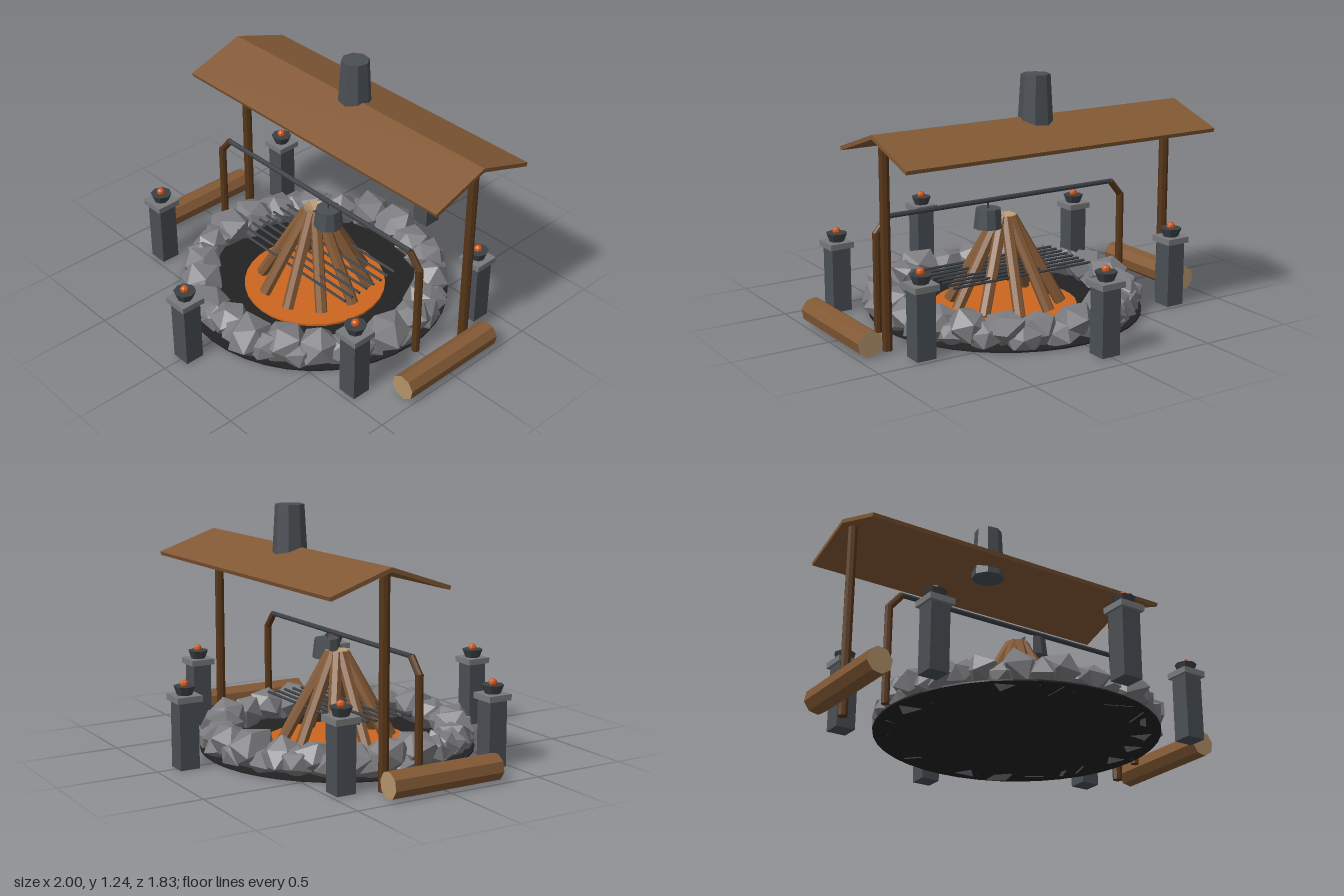
import * as THREE from 'three';

const V = (x, y, z) => new THREE.Vector3(x, y, z);

export function createModel() {
  const model = new THREE.Group();
  model.name = 'firePit';

  const mat = (name, color) => {
    const m = new THREE.MeshStandardMaterial({ color, flatShading: true });
    m.name = name;
    return m;
  };
  const stone = mat('stone', 0x7c7c80);
  const pillarStone = mat('pillarStone', 0x4a4f54);
  const capStone = mat('capStone', 0x77797c);
  const iron = mat('iron', 0x3b4045);
  const wood = mat('wood', 0x835935);
  const darkWood = mat('darkWood', 0x573619);
  const cutWood = mat('cutWood', 0xb2936a);
  const ember = mat('ember', 0xcc661f);
  const flame = mat('flame', 0xc8571a);
  const ash = mat('ash', 0x222222);

  const add = (name, geometry, material, pos = [0, 0, 0], parent = model) => {
    const mesh = new THREE.Mesh(geometry, material);
    mesh.name = name;
    mesh.position.set(...pos);
    parent.add(mesh);
    return mesh;
  };
  // Straight round bar between two points
  const rod = (name, a, b, r, material, sides = 8, parent = model) => {
    const dir = b.clone().sub(a);
    const mid = a.clone().add(b).multiplyScalar(0.5);
    const mesh = add(name, new THREE.CylinderGeometry(r, r, dir.length(), sides), material, mid.toArray(), parent);
    mesh.quaternion.setFromUnitVectors(V(0, 1, 0), dir.normalize());
    return mesh;
  };
  let seed = 11;
  const rand = () => {
    seed = (seed * 16807) % 2147483647;
    return seed / 2147483647;
  };
  const spread = (a) => (rand() * 2 - 1) * a;

  // Ash floor and ember bed
  add('ashFloor', new THREE.CylinderGeometry(0.7, 0.7, 0.008, 40), ash, [0, 0.019, 0]);
  add('emberBed', new THREE.CylinderGeometry(0.37, 0.37, 0.012, 32), ember, [0, 0.03, 0]);

  // Irregular rock: icosahedron corners pushed in and out, flattened underneath
  const rock = (x, y, z, r) => {
    const g = new THREE.IcosahedronGeometry(1, 0);
    const p = g.attributes.position;
    const corners = new Map();
    const turn = new THREE.Euler(rand() * 6, rand() * 6, rand() * 6);
    const v = V(0, 0, 0);
    for (let i = 0; i < p.count; i++) {
      v.fromBufferAttribute(p, i);
      const key = v.toArray().map((c) => Math.round(c * 10)).join();
      if (!corners.has(key)) corners.set(key, 0.84 + rand() * 0.32);
      v.multiplyScalar(r * corners.get(key)).applyEuler(turn);
      p.setXYZ(i, v.x, Math.max(v.y * 0.85, 0.014 - y), v.z);
    }
    g.computeVertexNormals();
    return add('rock', g, stone, [x, y, z], ring);
  };
  const ring = new THREE.Group();
  ring.name = 'stoneRing';
  model.add(ring);
  const n = 22;
  for (let i = 0; i < n; i++) {
    const a = (i / n) * Math.PI * 2;
    const r1 = 0.6 + spread(0.02);
    rock(Math.sin(a) * r1, 0.1 + spread(0.012), Math.cos(a) * r1, 0.115 + spread(0.012));
    const b = a + Math.PI / n;
    const r2 = 0.62 + spread(0.02);
    rock(Math.sin(b) * r2, 0.07 + spread(0.02), Math.cos(b) * r2, 0.09 + spread(0.01));
  }

  // Stacked firewood cone
  const firewood = new THREE.Group();
  firewood.name = 'firewood';
  model.add(firewood);
  for (let i = 0; i < 10; i++) {
    const a = ((i + 0.5) / 10) * Math.PI * 2;
    const s = Math.sin(a), c = Math.cos(a);
    rod('firewoodStick', V(s * 0.285, 0.045, c * 0.285), V(s * 0.035, 0.49, c * 0.035), 0.031,
      [wood, cutWood, cutWood], 7, firewood);
  }

  // Grill bars
  for (let i = 0; i < 8; i++) {
    const z = (i - 3.5) * 0.05;
    rod('grillBar', V(-0.41, 0.225, z), V(0.41, 0.225, z), 0.007, iron, 6);
  }

  // Spit with bent supports
  rod('spitBar', V(-0.67, 0.588, 0), V(0.67, 0.588, 0), 0.013, iron);
  for (const s of [-1, 1]) {
    rod('spitUpright', V(s * 0.735, 0.015, 0), V(s * 0.735, 0.515, 0), 0.02, darkWood);
    rod('spitBend', V(s * 0.738, 0.505, 0), V(s * 0.668, 0.588, 0), 0.018, darkWood);
  }

  // Hanging pot
  rod('potHook', V(0.1, 0.54, 0), V(0.1, 0.588, 0), 0.004, iron, 6);
  add('pot', new THREE.CylinderGeometry(0.064, 0.076, 0.1, 10), pillarStone, [0.1, 0.498, 0]);

  // Lantern pillars
  for (let i = 0; i < 6; i++) {
    const a = (i / 6) * Math.PI * 2;
    const pillar = new THREE.Group();
    pillar.name = 'lanternPillar';
    pillar.position.set(Math.sin(a) * 0.85, 0, Math.cos(a) * 0.85);
    model.add(pillar);
    add('pillarShaft', new THREE.BoxGeometry(0.1, 0.335, 0.1), pillarStone, [0, 0.1825, 0], pillar);
    add('pillarCap', new THREE.BoxGeometry(0.13, 0.03, 0.13), capStone, [0, 0.36, 0], pillar);
    add('fireBowl', new THREE.CylinderGeometry(0.055, 0.038, 0.043, 8), iron, [0, 0.3965, 0], pillar);
    add('flameBall', new THREE.SphereGeometry(0.022, 8, 6), flame, [0, 0.426, 0], pillar);
  }

  // Log benches and roof posts
  for (const s of [-1, 1]) {
    const log = rod('logBench', V(s * 0.935, 0.08, -0.3), V(s * 0.935, 0.08, 0.3), 0.066, [wood, cutWood, cutWood]);
    log.rotateY(0.2);
    rod('roofPost', V(s * 0.82, 0.015, -0.25), V(s * 0.82, 1.02, -0.25), 0.025, darkWood);
  }

  // Pitched roof
  const tilt = 0.325;
  for (const s of [-1, 1]) {
    const slab = add('roofSlope', new THREE.BoxGeometry(1.76, 0.02, 0.335), wood, [0, 0.987, -0.25 + s * 0.156]);
    slab.rotation.x = s * tilt;
  }

  // Chimney
  add('chimney', new THREE.CylinderGeometry(0.072, 0.088, 0.278, 8), pillarStone, [0, 1.117, -0.27]).rotation.y = 0.2;

  return model;
}
